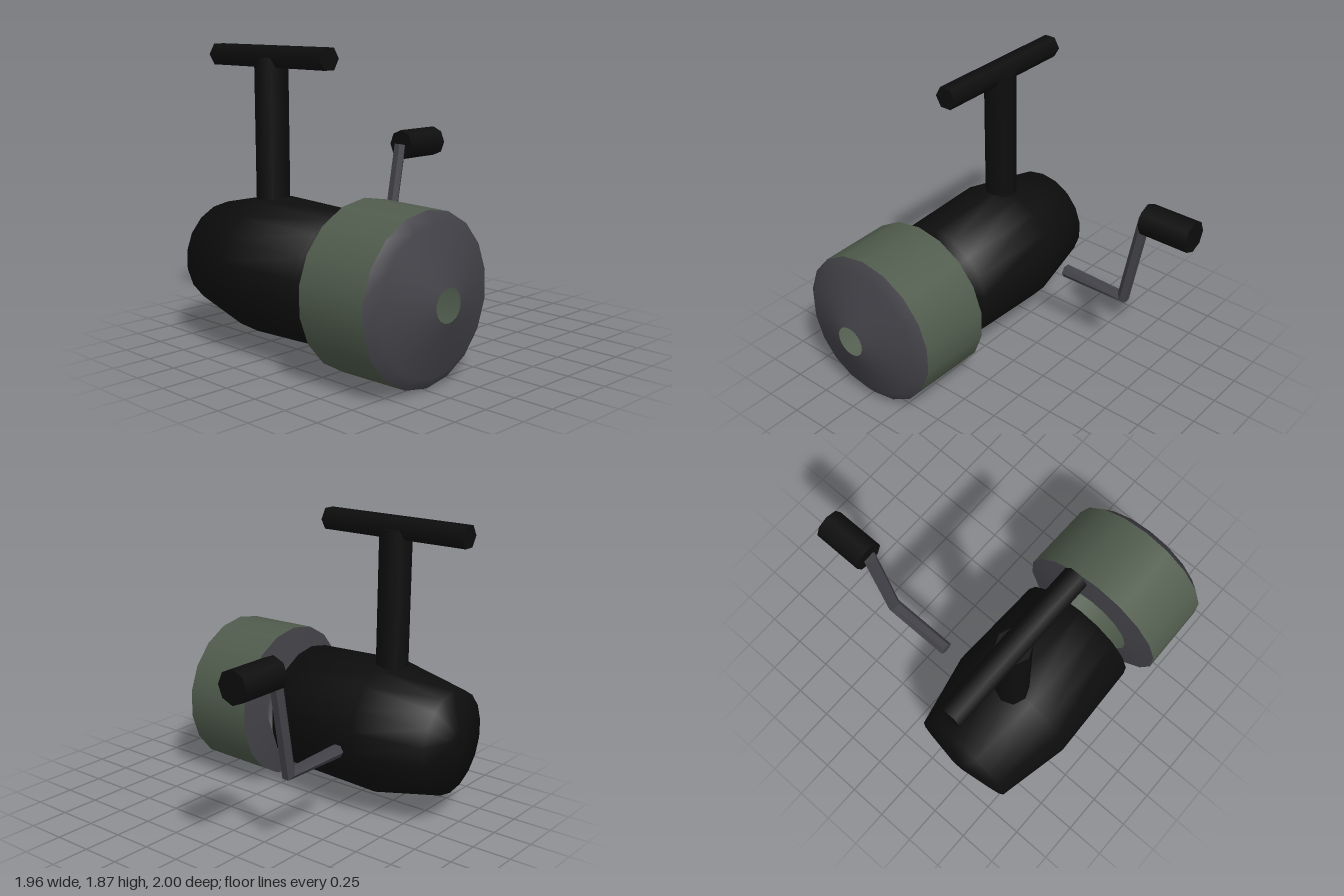
import * as THREE from 'three';

const flat = (name, color) => {
  const m = new THREE.MeshStandardMaterial({ color, side: THREE.DoubleSide });
  m.name = name;
  return m;
};

export function createModel() {
  const group = new THREE.Group();
  const black = flat('black', 0x0d0d0d);
  const gray = flat('dark gray', 0x434248);
  const green = flat('muted green', 0x505c4d);
  const AXIS_Y = 0.516, AXIS_Z = 0.49, STEM_X = -0.467;

  const add = (name, geometry, material, x = 0, y = 0, z = 0) => {
    const mesh = new THREE.Mesh(geometry, material);
    mesh.name = name;
    mesh.position.set(x, y, z);
    group.add(mesh);
  };

  // Turned part along x; profile entries are [radius, x]
  const turned = (name, profile, material) => {
    const geometry = new THREE.LatheGeometry(profile.map(([r, x]) => new THREE.Vector2(r, x)), 18);
    geometry.rotateY(Math.PI / 2).rotateZ(-Math.PI / 2);
    add(name, geometry, material, 0, AXIS_Y, AXIS_Z);
  };

  // Reel body with a small axle hole through both ends
  turned('body', [[0.025, -0.98], [0.07, -0.98], [0.335, -0.93], [0.435, -0.465],
    [0.412, 0.18], [0.07, 0.253], [0.025, 0.253]], black);

  // Hollow spool: back rim, drum and front cap with a centre hole
  turned('spoolBackRim', [[0.3, 0.308], [0.513, 0.335]], gray);
  turned('spoolDrum', [[0.513, 0.335], [0.505, 0.82]], green);
  turned('spoolCap', [[0.505, 0.82], [0.435, 0.872], [0.1, 0.977]], gray);

  // Stem and mounting foot
  add('stem', new THREE.CylinderGeometry(0.104, 0.104, 0.95, 8), black, STEM_X, 1.325, AXIS_Z);
  add('foot', new THREE.CylinderGeometry(0.076, 0.076, 1.03, 6).rotateZ(Math.PI / 2),
    black, -0.465, 1.805, AXIS_Z);

  // Bent six-sided crank; each ring is [y, z, half-thickness y, half-thickness z]
  const rings = [[0.517, -0.07, 0.037, 0], [0.515, -0.533, 0.025, 0.028], [1.163, -0.655, 0.007, 0.031]];
  const positions = [], indices = [];
  for (const [y, z, dy, dz] of rings) {
    for (let i = 0; i < 6; i++) {
      const a = i * Math.PI / 3, s = Math.sin(a) / 0.866;
      positions.push(STEM_X + 0.045 * Math.cos(a), y + s * dy, z + s * dz);
    }
  }
  for (let k = 0; k < 2; k++) {
    for (let i = 0; i < 6; i++) {
      const a = k * 6 + i, b = k * 6 + (i + 1) % 6;
      indices.push(a, a + 6, b, b, a + 6, b + 6);
    }
  }
  for (let i = 1; i < 5; i++) indices.push(0, i, i + 1, 12, 13 + i, 12 + i);
  // Reverse each triangle wherever needed so that faces point outward
  const crank = new THREE.BufferGeometry();
  crank.setAttribute('position', new THREE.Float32BufferAttribute(positions, 3));
  crank.setIndex(indices);
  const crankFlat = crank.toNonIndexed();
  crankFlat.computeVertexNormals();
  add('crankArm', crankFlat, gray);

  // Crank grip
  add('crankGrip', new THREE.CylinderGeometry(0.102, 0.102, 0.335, 8).rotateX(Math.PI / 2),
    black, STEM_X, 1.16, -0.8325);

  return group;
}
